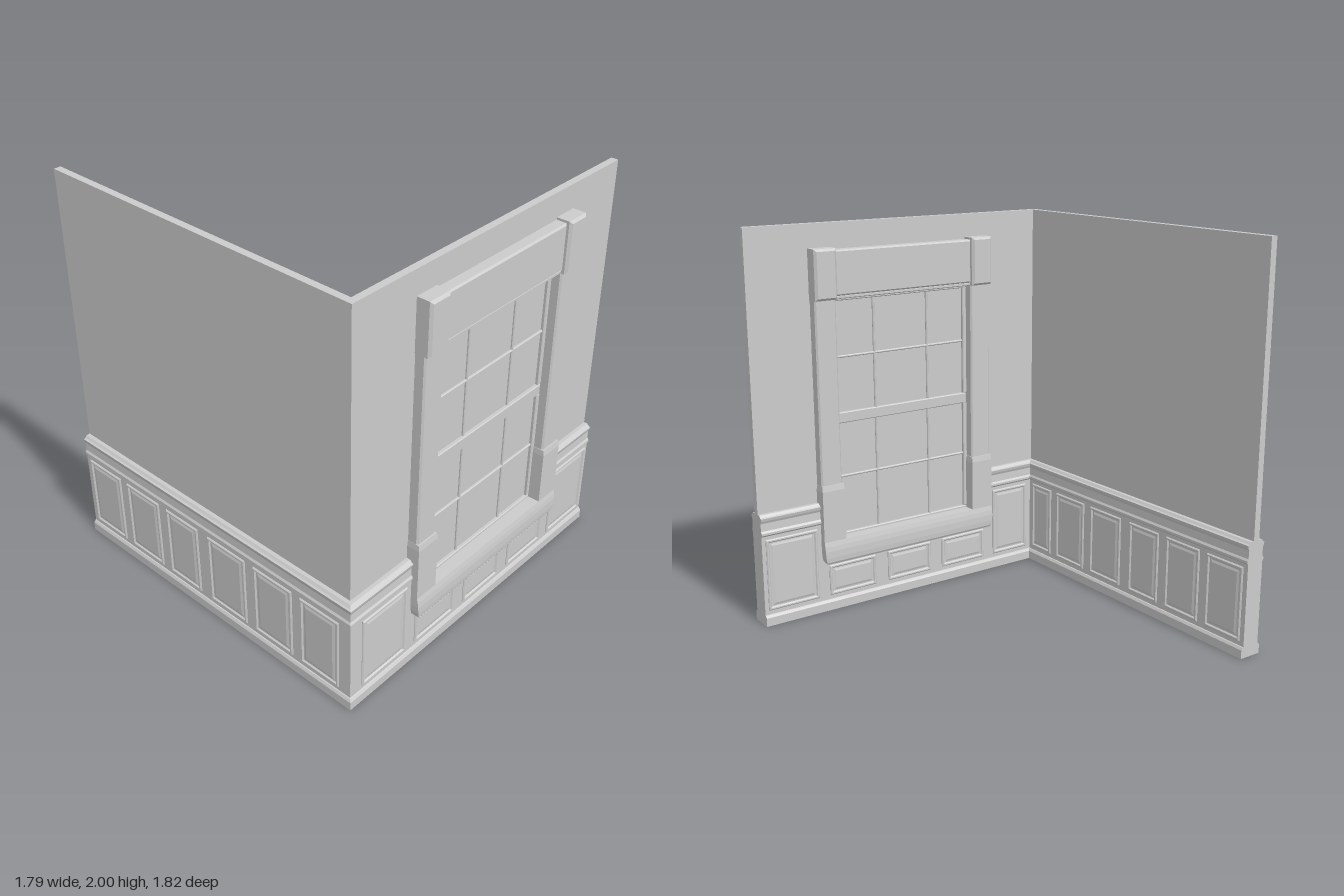
import * as THREE from 'three';

const X0 = -0.835, Z0 = 0.817, XE = 0.893, ZE = -0.912; // wall centre lines and ends
const WX = 0.036; // window centre
const BODY = 0.048; // half depth of the wainscot
const mat = new THREE.MeshStandardMaterial({ color: 0xcccccc, flatShading: true });

// Joins equal rings of points (counter-clockwise seen from the far end) and caps both ends
function loft(rings, capTris) {
  const pos = [];
  const tri = (a, b, c) => pos.push(...a, ...b, ...c);
  const n = rings[0].length;
  for (let r = 0; r < rings.length - 1; r++) {
    const A = rings[r], B = rings[r + 1];
    for (let i = 0; i < n; i++) {
      const j = (i + 1) % n;
      tri(A[i], A[j], B[j]);
      tri(A[i], B[j], B[i]);
    }
  }
  const first = rings[0], last = rings[rings.length - 1];
  for (const [a, b, c] of capTris) {
    tri(first[a], first[c], first[b]);
    tri(last[a], last[b], last[c]);
  }
  const g = new THREE.BufferGeometry();
  g.setAttribute('position', new THREE.Float32BufferAttribute(pos, 3));
  g.computeVertexNormals();
  return g;
}

// Stack of rectangles [half width, half height, z]
const rectLoft = (steps) => loft(
  steps.map(([w, h, z]) => [[-w, -h, z], [w, -h, z], [w, h, z], [-w, h, z]]),
  [[0, 1, 2], [0, 2, 3]]);

// Sweeps a mirrored half profile [offset, y] along a floor path [x, z] with mitred corners
function sweep(half, path) {
  const prof = [...half, ...half.map(([u, y]) => [-u, y]).reverse()];
  const tris = THREE.ShapeUtils.triangulateShape(prof.map(([u, y]) => new THREE.Vector2(u, y)), []);
  const normal = (a, b) => {
    const dx = b[0] - a[0], dz = b[1] - a[1], l = Math.hypot(dx, dz);
    return [dz / l, -dx / l];
  };
  const rings = path.map((p, i) => {
    const before = i > 0 ? normal(path[i - 1], p) : null;
    const after = i < path.length - 1 ? normal(p, path[i + 1]) : null;
    const m = before && after ? [before[0] + after[0], before[1] + after[1]] : before || after;
    return prof.map(([u, y]) => [p[0] + u * m[0], y, p[1] + u * m[1]]);
  });
  return loft(rings, tris);
}

export function createModel() {
  const model = new THREE.Group();
  const add = (name, geo, x = 0, y = 0, z = 0, ry = 0, parent = model) => {
    const m = new THREE.Mesh(geo, mat);
    m.name = name;
    m.position.set(x, y, z);
    m.rotation.y = ry;
    parent.add(m);
    return m;
  };

  // Walls and wainscot: an L-shaped run, a short run right of the window, a low run below it
  const corner = [[-0.37, Z0], [X0, Z0], [X0, ZE]];
  const rightRun = [[XE, Z0], [0.44, Z0]];
  const middle = [[0.44, Z0], [-0.37, Z0]];
  const wall = (y0, y1) => [[0.0175, y0], [0.0175, y1]];
  add('cornerWall', sweep(wall(0.3, 2), corner));
  add('rightWall', sweep(wall(0.3, 2), rightRun));
  add('wallAboveWindow', sweep(wall(1.64, 2), middle));

  const foot = [[0.061, 0], [0.061, 0.044], [0.053, 0.056], [BODY, 0.058]];
  const rail = [[BODY, 0.476], [0.055, 0.484], [0.055, 0.495], [BODY, 0.505], [0.046, 0.545],
    [0.052, 0.558], [0.055, 0.572], [0.046, 0.576], [0.036, 0.587]];
  add('cornerWainscot', sweep([...foot, ...rail], corner));
  add('rightWainscot', sweep([...foot, ...rail], rightRun));
  add('lowWainscot', sweep([...foot, [BODY, 0.375]], middle));

  // Moulded panels: a raised frame around a bevelled field
  const panel = (a, b, y0, y1) => {
    const w = Math.abs(b - a) / 2, h = (y1 - y0) / 2;
    return rectLoft([[0, -0.002], [0, 0.003], [0.005, 0.008], [0.012, 0.008], [0.018, 0.001],
      [0.024, 0.001], [0.036, 0.005]].map(([inset, z]) => [w - inset, h - inset, z]));
  };
  const tall = [0.08, 0.458], low = [0.08, 0.245];
  for (const s of [1, -1]) {
    const runs = [[s > 0 ? -0.81 : -0.755, -0.52, tall], [0.585, 0.872, tall],
      [-0.455, -0.175, low], [-0.1, 0.17, low], [0.245, 0.522, low]];
    for (const [a, b, [y0, y1]] of runs) {
      add(s > 0 ? 'frontPanel' : 'backPanel', panel(a, b, y0, y1),
        (a + b) / 2, (y0 + y1) / 2, Z0 + s * BODY, s > 0 ? 0 : Math.PI);
    }
    const sideRuns = [[s > 0 ? 0.74 : 0.8, 0.57], [0.52, 0.28], [0.225, -0.02],
      [-0.09, -0.31], [-0.365, -0.6], [-0.65, -0.885]];
    for (const [a, b] of sideRuns) {
      add(s > 0 ? 'innerSidePanel' : 'outerSidePanel', panel(a, b, ...tall),
        X0 + s * BODY, (tall[0] + tall[1]) / 2, (a + b) / 2, s * Math.PI / 2);
    }
  }

  // Window, built around its own centre line
  const win = new THREE.Group();
  win.name = 'window';
  win.position.set(WX, 0, Z0);
  model.add(win);
  const block = (name, w, h, d, bevel, x, y) => add(name, rectLoft([
    [w - bevel, h - bevel, -d], [w, h, bevel - d], [w, h, d - bevel], [w - bevel, h - bevel, d],
  ]), x, y, 0, 0, win);
  const upright = (name, steps, x) => {
    const g = rectLoft(steps);
    g.rotateX(-Math.PI / 2);
    add(name, g, x, 0, 0, 0, win);
  };

  // Casing: posts, corner blocks, flared feet, header and sill
  for (const s of [1, -1]) {
    block('casingPost', 0.059, 0.49, 0.07, 0.008, s * 0.462, 1.15);
    block('cornerBlock', 0.061, 0.126, 0.093, 0.012, s * 0.463, 1.755);
    upright('casingFoot', [[0.064, 0.083, 0.37], [0.064, 0.083, 0.655], [0.061, 0.078, 0.684]], s * 0.461);
  }
  block('header', 0.404, 0.113, 0.073, 0.008, 0, 1.757);
  block('headerBead', 0.404, 0.009, 0.066, 0.004, 0, 1.637);
  upright('sill', [[0.508, 0.085, 0.264], [0.517, 0.091, 0.275], [0.523, 0.093, 0.3],
    [0.525, 0.0925, 0.335], [0.525, 0.089, 0.36], [0.525, 0.083, 0.385]], 0);

  // Sashes with panes and glazing bars
  const sash = (name, y0, y1, bar) => {
    const mid = (y0 + y1) / 2, h = (y1 - y0) / 2;
    block(name + 'Pane', 0.4, h + 0.01, 0.006, 0, 0, mid);
    for (const s of [1, -1]) {
      block(name + 'Stile', 0.012, h, 0.022, 0.004, s * 0.394, mid);
      block(name + 'VerticalBar', 0.006, h, 0.016, 0.004, s * 0.16, mid);
    }
    block(name + 'CrossBar', 0.385, 0.006, 0.016, 0.004, 0, bar);
  };
  sash('lowerSash', 0.395, 0.985, 0.7);
  sash('upperSash', 1.04, 1.615, 1.327);
  block('bottomRail', 0.4, 0.01, 0.022, 0.004, 0, 0.387);
  block('meetingRail', 0.4, 0.028, 0.024, 0.004, 0, 1.0125);
  block('topRail', 0.4, 0.012, 0.022, 0.004, 0, 1.624);
  return model;
}
